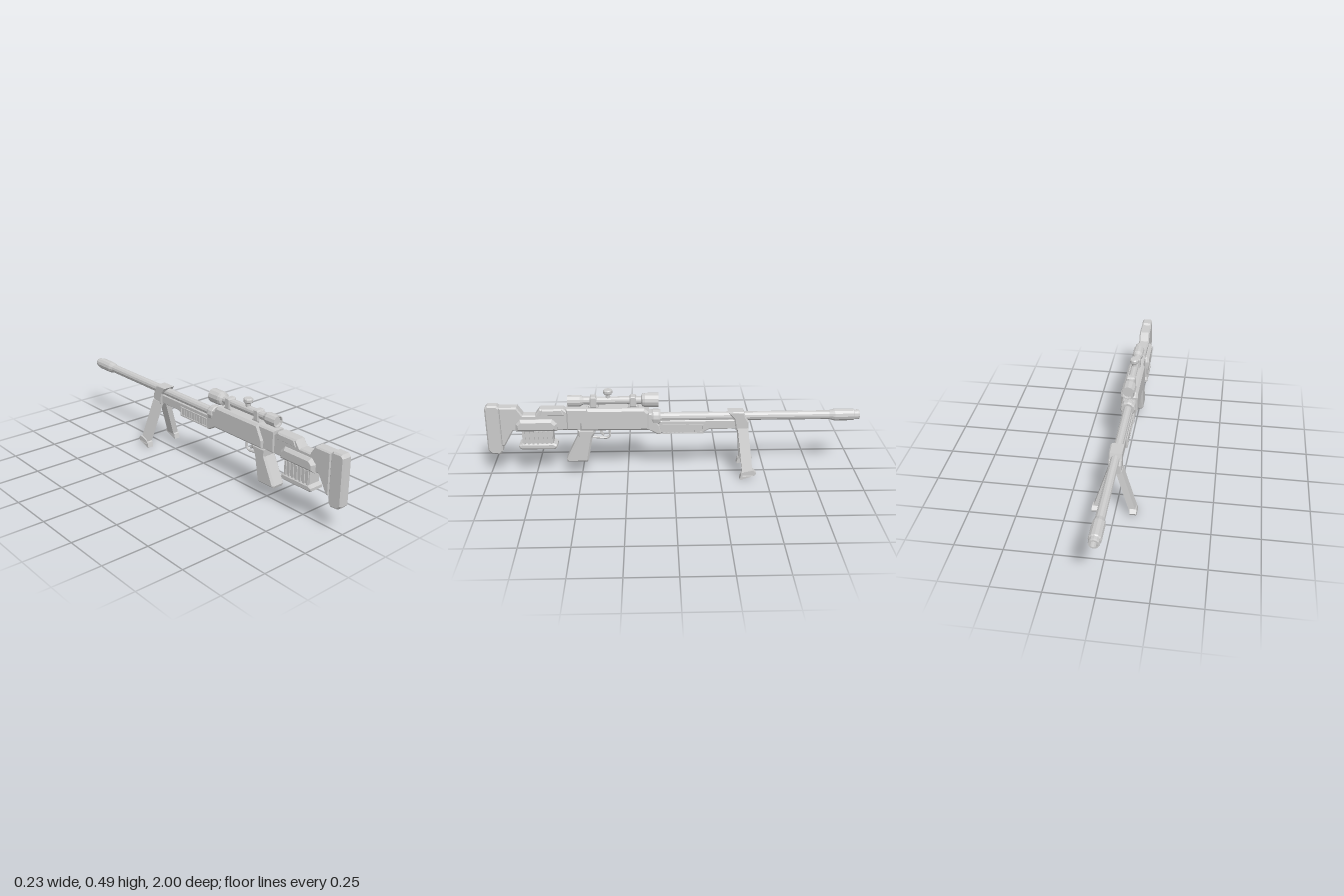
import * as THREE from 'three';

const mat = new THREE.MeshStandardMaterial({ color: 0xcccccc, flatShading: true });

export function createModel() {
  const model = new THREE.Group();

  const add = (name, geo, parent = model) => {
    const mesh = new THREE.Mesh(geo, mat);
    mesh.name = name;
    parent.add(mesh);
    return mesh;
  };

  // Side outline of [z, y] points, extruded across x with chamfered edges
  const slab = (name, pts, half, bevel = 0.006, parent = model) => {
    const shape = new THREE.Shape(pts.map(([z, y]) => new THREE.Vector2(z, y)));
    const geo = new THREE.ExtrudeGeometry(shape, {
      depth: 2 * (half - bevel), bevelEnabled: bevel > 0, bevelThickness: bevel,
      bevelSize: bevel, bevelOffset: -bevel, bevelSegments: 1,
    });
    geo.translate(0, 0, bevel - half).rotateY(-Math.PI / 2);
    return add(name, geo, parent);
  };

  // Turned part along z, from [radius, z] points in ascending z
  const turned = (name, pts, y, sides = 12) => {
    const geo = new THREE.LatheGeometry(pts.map(([r, z]) => new THREE.Vector2(r, z)), sides);
    return add(name, geo.rotateX(Math.PI / 2).translate(0, y, 0));
  };

  const box = (name, w, h, d, x, y, z, parent) =>
    add(name, new THREE.BoxGeometry(w, h, d).translate(x, y, z), parent);

  // Stock and butt pad
  slab('buttPad', [[1, 0.15], [1, 0.395], [0.985, 0.41], [0.935, 0.41], [0.92, 0.395],
    [0.92, 0.145], [0.935, 0.127], [0.98, 0.13]], 0.028, 0.008);
  slab('stock', [[0.925, 0.18], [0.925, 0.4], [0.83, 0.4], [0.8, 0.355], [0.735, 0.355],
    [0.71, 0.39], [0.585, 0.39], [0.565, 0.375], [0.45, 0.375], [0.45, 0.268],
    [0.855, 0.268], [0.905, 0.18]], 0.03, 0.007);
  slab('cheekRest', [[0.715, 0.35], [0.7, 0.39], [0.59, 0.39], [0.575, 0.35]], 0.034, 0.008);

  // Receiver
  slab('receiver', [[0.5, 0.268], [0.5, 0.315], [0.46, 0.392], [0.155, 0.392], [0.13, 0.37],
    [0.13, 0.268]], 0.046, 0.012);
  slab('receiverRear', [[0.57, 0.27], [0.57, 0.39], [0.44, 0.39], [0.44, 0.27]], 0.036, 0.008);
  slab('frontBracket', [[0.14, 0.27], [0.14, 0.36], [0.115, 0.36], [0.075, 0.29],
    [0.065, 0.24], [0.085, 0.24]], 0.036, 0.006);

  // Magazine with its housing and side ribs
  slab('magazineHousing', [[0.84, 0.268], [0.84, 0.31], [0.815, 0.335], [0.645, 0.335],
    [0.62, 0.31], [0.62, 0.268]], 0.05, 0.014);
  const magazine = new THREE.Group();
  magazine.name = 'magazine';
  model.add(magazine);
  box('magazineBody', 0.068, 0.11, 0.165, 0, 0.23, 0.727, magazine);
  slab('magazineBase', [[0.83, 0.17], [0.83, 0.185], [0.81, 0.195], [0.645, 0.195],
    [0.625, 0.185], [0.625, 0.17], [0.64, 0.16], [0.815, 0.16]], 0.042, 0.008, magazine);
  for (const x of [-0.036, 0.036])
    for (let i = 0; i < 7; i++)
      box('magazineRib', 0.008, 0.075, 0.011, x, 0.23, 0.655 + i * 0.024, magazine);

  // Grip
  slab('grip', [[0.515, 0.275], [0.42, 0.275], [0.42, 0.25], [0.435, 0.225], [0.46, 0.09],
    [0.468, 0.08], [0.575, 0.08], [0.58, 0.095], [0.512, 0.235]], 0.039, 0.01);

  // Trigger and guard
  const guardPath = new THREE.CurvePath();
  const guardPts = [[0.44, 0.215], [0.36, 0.208], [0.343, 0.22], [0.343, 0.275]]
    .map(([z, y]) => new THREE.Vector3(0, y, z));
  for (let i = 0; i < 3; i++) guardPath.add(new THREE.LineCurve3(guardPts[i], guardPts[i + 1]));
  add('triggerGuard', new THREE.TubeGeometry(guardPath, 24, 0.007, 6));
  slab('trigger', [[0.4, 0.275], [0.38, 0.275], [0.383, 0.245], [0.372, 0.225],
    [0.38, 0.222], [0.395, 0.242]], 0.007, 0.001);

  // Barrel, collar and hollow muzzle
  turned('barrel', [[0, -0.9], [0.024, -0.9], [0.024, 0.14], [0, 0.14]], 0.33);
  turned('barrelCollar', [[0.024, 0.07], [0.036, 0.07], [0.042, 0.08], [0.042, 0.108],
    [0.036, 0.118], [0.024, 0.118]], 0.33);
  turned('muzzle', [[0, -0.96], [0.017, -0.96], [0.017, -1], [0.025, -1], [0.027, -0.992],
    [0.027, -0.973], [0.032, -0.968], [0.032, -0.865], [0.024, -0.835]], 0.33);

  // Handguard with ribbed side panels
  slab('handguard', [[0.09, 0.245], [0.09, 0.315], [-0.4, 0.315], [-0.4, 0.262],
    [-0.19, 0.262], [-0.155, 0.243]], 0.025, 0.005);
  for (const x of [-0.025, 0.025]) {
    for (const y of [0.245, 0.29]) box('panelRail', 0.012, 0.007, 0.22, x, y, -0.05);
    for (const z of [0.057, -0.157]) box('panelEnd', 0.012, 0.05, 0.007, x, 0.268, z);
    for (let i = 0; i < 9; i++) box('panelRib', 0.008, 0.04, 0.01, x, 0.268, 0.038 - i * 0.022);
  }

  // Bipod clamp and splayed legs
  slab('bipodClamp', [[-0.29, 0.362], [-0.375, 0.362], [-0.385, 0.335], [-0.402, 0.305],
    [-0.402, 0.255], [-0.335, 0.255], [-0.325, 0.32]], 0.034, 0.006);
  for (const side of [-1, 1]) {
    // Upright bar, slanted outwards and forwards by height
    const leg = new THREE.BoxGeometry(0.034, 0.25, 0.056).translate(0, 0.145, 0);
    const p = leg.attributes.position;
    for (let i = 0; i < p.count; i++) {
      const t = (0.27 - p.getY(i)) / 0.25;
      p.setX(i, p.getX(i) + side * (0.02 + 0.08 * t));
      p.setZ(i, p.getZ(i) - 0.372 - 0.026 * t);
    }
    add('bipodLeg', leg);
    slab('bipodFoot', [[-0.355, 0.002], [-0.362, 0.03], [-0.38, 0.045], [-0.425, 0.055],
      [-0.443, 0.038], [-0.437, 0.026], [-0.362, 0]], 0.0175, 0).position.x = side * 0.0975;
  }

  // Scope: one turned tube with recessed lenses, plus rings and turret
  turned('scope', [[0, 0.095], [0.031, 0.095], [0.033, 0.08], [0.038, 0.08], [0.038, 0.15],
    [0.034, 0.165], [0.021, 0.172], [0.021, 0.475], [0.031, 0.495], [0.031, 0.56],
    [0.026, 0.56], [0.024, 0.548], [0, 0.548]], 0.427);
  for (const z of [0.425, 0.215]) {
    slab('scopeRing', [[z + 0.018, 0.395], [z + 0.018, 0.445], [z + 0.012, 0.453],
      [z - 0.012, 0.453], [z - 0.018, 0.445], [z - 0.018, 0.395]], 0.025, 0.005);
    slab('scopeFoot', [[z + 0.03, 0.385], [z + 0.024, 0.405], [z - 0.024, 0.405],
      [z - 0.03, 0.385]], 0.022, 0.003);
  }
  const turret = [[0, 0.44], [0.013, 0.44], [0.013, 0.463], [0.021, 0.464], [0.025, 0.469],
    [0.025, 0.483], [0.021, 0.488], [0, 0.488]].map(([r, y]) => new THREE.Vector2(r, y));
  add('scopeTurret', new THREE.LatheGeometry(turret, 12)).position.z = 0.347;

  return model;
}
